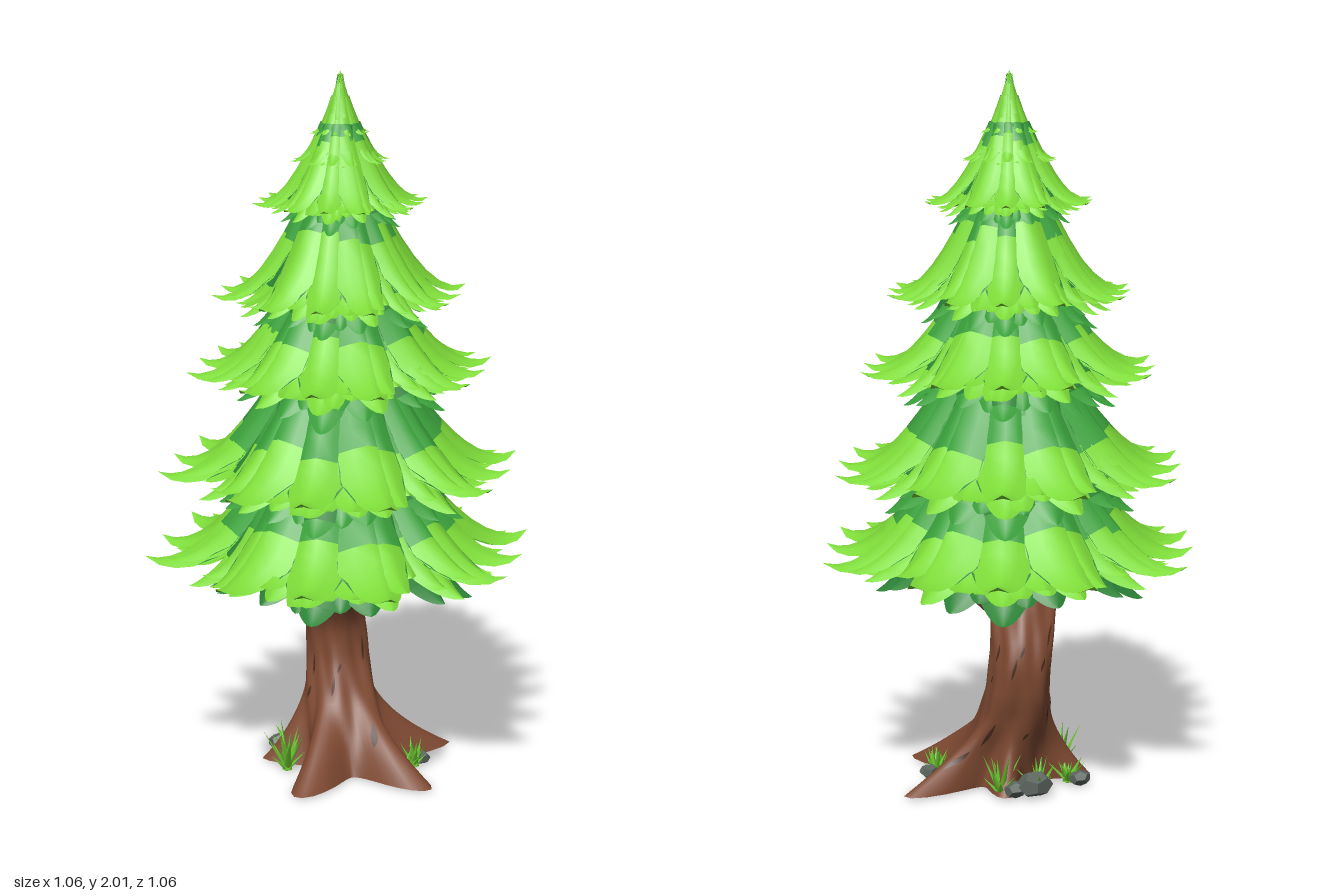
import * as THREE from 'three';
import { mergeGeometries } from 'three/addons/utils/BufferGeometryUtils.js';

const mat = (name, color) => {
  const m = new THREE.MeshStandardMaterial({ color });
  m.name = name;
  return m;
};
const V = (x, y, z) => new THREE.Vector3(x, y, z);
const rad = THREE.MathUtils.degToRad;

// Grid of points (rows of equal length) to a smooth surface
function grid(rows, wrap = false, flip = false) {
  const n = rows[0].length, pos = [], idx = [];
  rows.forEach(row => row.forEach(p => pos.push(p.x, p.y, p.z)));
  for (let i = 0; i < rows.length - 1; i++) {
    for (let j = 0; j < (wrap ? n : n - 1); j++) {
      const k = (j + 1) % n;
      const a = i * n + j, b = i * n + k, c = a + n, d = b + n;
      if (flip) idx.push(a, c, b, b, c, d);
      else idx.push(a, b, c, b, d, c);
    }
  }
  const g = new THREE.BufferGeometry();
  g.setAttribute('position', new THREE.Float32BufferAttribute(pos, 3));
  g.setIndex(idx);
  g.computeVertexNormals();
  return g;
}

// Ridged leaf swept along a path in the (radius, height) plane.
// Adds its root, blade and underside to the buckets.
function leaf(out, angle, path, width, split, rootKey, tipKey) {
  const curve = new THREE.CubicBezierCurve(...path.map(p => new THREE.Vector2(...p)));
  const ca = Math.cos(angle), sa = Math.sin(angle);
  const ring = (t, cols, droop) => {
    const p = curve.getPoint(t), d = curve.getTangent(t);
    const w = width * (t < 0.5 ? 0.6 + 0.8 * t : Math.pow(Math.max(0, 2 - 2 * t), 0.75));
    return cols.map(u => {
      const h = -w * droop(Math.abs(u));
      const r = p.x - d.y * h, y = p.y + d.x * h, s = u * w;
      return V(ca * r - sa * s, y, sa * r + ca * s);
    });
  };
  const sweep = (t0, t1, n, cols, droop, flip) => grid(
    Array.from({ length: n + 1 }, (_, i) => ring(t0 + (t1 - t0) * i / n, cols, droop)), false, flip);
  const top = [-1, -0.5, 0, 0.5, 1], low = [-1, 0, 1];
  const over = u => 0.5 * Math.pow(u, 1.3), under = u => 0.3 + 0.2 * u;
  out[rootKey].push(sweep(0, split, 3, top, over, false));
  out[tipKey].push(sweep(split, 1, 6, top, over, false));
  out.dark.push(sweep(0, 0.7, 4, low, under, true));
  out[tipKey].push(sweep(0.7, 1, 3, low, under, true));
}

// Leaf patterns over one quadrant: [degrees, reach, width, drop]
const MAIN = [[19.5, 1, 1.1, 0], [45, 0.93, 1.1, 0], [70.5, 1, 1.1, 0]];
const SIDE = [[13, 0.93, 0.75, 0.005], [9, 0.76, 0.7, 0.03], [30, 0.83, 0.85, 0.02], [38, 0.8, 0.7, 0.045],
  [52, 0.8, 0.7, 0.045], [60, 0.83, 0.85, 0.02], [77, 0.93, 0.75, 0.005], [81, 0.76, 0.7, 0.03]];
const MIDDLE = [[0, 0.64, 1.2, 0.02], [15, 0.8, 0.9, 0.07], [27, 0.74, 0.9, 0.05], [45, 0.78, 1, 0.07],
  [63, 0.74, 0.9, 0.05], [75, 0.8, 0.9, 0.07]];
const LOWER = [[0, 0.46, 1.3, 0.07], [20, 0.64, 1, 0.11], [34, 0.6, 0.9, 0.1], [45, 0.68, 1, 0.14],
  [56, 0.6, 0.9, 0.1], [70, 0.64, 1, 0.11]];

// Tiers: tip radius, tip height, root radius, root height, share of darker root
const TIERS = [
  [0.56, 0.665, 0.2, 0.92, 0.38], [0.52, 0.905, 0.18, 1.16, 0.38], [0.44, 1.185, 0.13, 1.43, 0.34],
  [0.365, 1.395, 0.09, 1.69, 0.24], [0.25, 1.645, 0.055, 1.86, 0.1]];
const CROWN = [[0.14, 1.755, 0.025, 1.93, 0.2], [0.085, 1.83, 0.004, 1.99, 0.2]];

function buildFoliage(mats) {
  const group = new THREE.Group();
  group.name = 'foliage';
  const out = { light: [], mid: [], dark: [] };
  // curl bends the tip: negative flicks it up, positive lets it hang
  const row = (pattern, [R, Y, r0, y0], split, curl, rootKey, tipKey) => {
    const size = Math.min(1, R / 0.5);
    for (let q = 0; q < 4; q++) pattern.forEach(([deg, reach, wide, drop], i) => {
      const wave = Math.sin(i * 2.7 + q * 1.9 + R * 31);
      const r = R * reach, y = Y - (drop - (drop ? 0.012 * wave : 0)) * size;
      const dr = r - r0, top = y0 - drop * 0.5 * size, dy = top - y;
      const path = [[r0, top], [r0 + dr * 0.3, top - dy * 0.55], [r0 + dr * 0.65, y + curl * size], [r, y]];
      leaf(out, rad(deg + q * 90 + wave), path, R * 0.155 * wide, split + 0.05 * wave, rootKey, tipKey);
    });
  };
  TIERS.forEach((tier, i) => {
    row(MAIN, tier, tier[4], -0.045, 'mid', 'light');
    row(SIDE, tier, tier[4] + 0.04, -0.01, 'mid', 'light');
    row(MIDDLE, tier, 0.62, 0.03, 'dark', 'light');
    row(LOWER, tier, 0.7, 0.04, 'dark', i ? 'mid' : 'dark');
  });
  CROWN.forEach(tier => {
    row(MAIN, tier, tier[4], 0, 'light', 'light');
    row(SIDE, tier, tier[4], 0.02, 'light', 'light');
    row(MIDDLE, tier, 0.4, 0.03, 'light', 'light');
  });
  for (const key of Object.keys(out)) {
    const mesh = new THREE.Mesh(mergeGeometries(out[key]), mats[key]);
    mesh.name = key + 'Leaves';
    group.add(mesh);
  }
  // Inner body that closes the gaps between leaves
  const profile = [[0, 0.72]];
  TIERS.forEach(([R, Y, r0, y0]) => profile.push([R * 0.48, Y + 0.01], [r0, y0 - 0.06]));
  profile.push([0, 1.9]);
  const core = new THREE.Mesh(
    new THREE.LatheGeometry(profile.map(p => new THREE.Vector2(...p)), 24), mats.dark);
  core.name = 'innerFoliage';
  const tip = new THREE.Mesh(new THREE.ConeGeometry(0.045, 0.14, 10), mats.light);
  tip.name = 'treeTop';
  tip.position.y = 1.93;
  group.add(core, tip);
  return group;
}

// Trunk centre line and radii at even height steps; roots as [degrees, reach, half spread]
const SPINE = new THREE.CatmullRomCurve3([V(0.03, 0, 0), V(0.035, 0.1, -0.03), V(0.055, 0.2, -0.08),
  V(0.068, 0.3, -0.115), V(0.06, 0.4, -0.12), V(0.02, 0.5, -0.08), V(-0.03, 0.6, -0.03), V(-0.01, 0.7, 0),
  V(0, 0.8, 0)]);
const RADII = [0.125, 0.115, 0.1, 0.088, 0.085, 0.092, 0.1, 0.085, 0.07];
const ROOTS = [[2, 0.22, 0.26], [78, 0.19, 0.3], [151, 0.19, 0.3], [222, 0.13, 0.25], [310, 0.1, 0.25]];

// Point on the trunk skin: angle, height share, offset outward
function skin(a, t, lift = 0) {
  const c = SPINE.getPoint(t), f = t * 8, k = Math.min(Math.floor(f), 7);
  let r = THREE.MathUtils.lerp(RADII[k], RADII[k + 1], f - k);
  r *= 1 + 0.045 * Math.sin(a * 5 + t * 9) + 0.02 * Math.sin(a * 11 - t * 14);
  const flare = Math.pow(Math.max(0, 1 - c.y / 0.22), 1.8);
  for (const [deg, reach, spread] of ROOTS) {
    const d = Math.atan2(Math.sin(a - rad(deg)), Math.cos(a - rad(deg)));
    r += reach * flare * Math.exp(-((d / spread) ** 2));
  }
  return V(c.x + Math.cos(a) * (r + lift), Math.max(0, c.y), c.z + Math.sin(a) * (r + lift));
}

// Round tapering branch
function branch(points) {
  const curve = new THREE.CatmullRomCurve3(points), steps = 12, sides = 10;
  const { normals, binormals } = curve.computeFrenetFrames(steps);
  return grid(Array.from({ length: steps + 1 }, (_, i) => Array.from({ length: sides }, (_, j) => {
    const a = j / sides * Math.PI * 2, r = 0.042 * (1 - i / steps) + 0.004;
    return curve.getPointAt(i / steps).addScaledVector(normals[i], r * Math.cos(a))
      .addScaledVector(binormals[i], r * Math.sin(a));
  })), true);
}

function buildTrunk(bark, barkDark) {
  const group = new THREE.Group();
  group.name = 'trunk';
  const add = (name, geo, m) => {
    const mesh = new THREE.Mesh(geo, m);
    mesh.name = name;
    group.add(mesh);
  };
  const sides = 80, ring = t => Array.from({ length: sides }, (_, j) => skin(j / sides * Math.PI * 2, t));
  const rows = Array.from({ length: 49 }, (_, i) => ring(Math.pow(i / 48, 1.4)));
  add('stemAndRoots', grid(rows, true, true), bark);
  add('sole', grid([rows[0].map(() => V(0.03, 0.015, 0)), rows[0]], true, true), barkDark);
  // Thin dark grooves in the bark
  const grooves = [];
  for (let i = 0; i < 22; i++) {
    const a0 = i * 2.4, t0 = 0.08 + ((i * 7) % 22) / 22 * 0.56, len = 0.06 + 0.03 * Math.sin(i * 3);
    grooves.push(grid(Array.from({ length: 7 }, (_, k) => {
      const s = k / 6, half = 0.045 * Math.sin(Math.PI * s);
      return [-half, 0, half].map(w => skin(a0 - s * 0.12 + w, t0 + s * len, 0.003));
    }), false, true));
  }
  add('barkGrooves', mergeGeometries(grooves), barkDark);
  // Short bare branches under the foliage
  add('branch', branch([V(0.03, 0.47, -0.07), V(0.07, 0.52, 0.03), V(0.085, 0.56, 0.1), V(0.08, 0.64, 0.14)]), bark);
  add('branch', branch([V(0, 0.5, -0.08), V(-0.07, 0.535, -0.11), V(-0.12, 0.58, -0.135), V(-0.135, 0.66, -0.14)]), bark);
  return group;
}

function buildGround(grass, rock) {
  const group = new THREE.Group();
  group.name = 'groundDetails';
  // Grass tufts: x, z, height
  for (const [x, z, h] of [[0.17, 0.13, 0.08], [0.11, 0.16, 0.07], [0.16, -0.14, 0.12], [0.06, -0.19, 0.1],
    [-0.15, -0.05, 0.13], [-0.06, -0.18, 0.08]]) {
    const blades = [];
    for (let i = 0; i < 13; i++) {
      const len = h * (0.85 + 0.25 * Math.sin(i * 2.3 + x * 40));
      blades.push(new THREE.ConeGeometry(0.014, len, 4).scale(1, 1, 0.45).translate(0, len / 2, 0)
        .rotateX(0.15 + 0.8 * ((i * 5) % 13) / 13).rotateY(i * Math.PI * 2 / 13));
    }
    const mesh = new THREE.Mesh(mergeGeometries(blades), grass);
    mesh.name = 'grassTuft';
    mesh.position.set(x, 0, z);
    group.add(mesh);
  }
  // Rocks: x, z, size
  for (const [x, z, s] of [[0.09, -0.205, 0.05], [0.14, -0.18, 0.032], [-0.07, -0.22, 0.03], [0.2, 0.12, 0.027]]) {
    const mesh = new THREE.Mesh(new THREE.DodecahedronGeometry(s).rotateY(x * 30).scale(1.15, 0.75, 0.9), rock);
    mesh.name = 'rock';
    mesh.position.set(x, s * 0.6, z);
    group.add(mesh);
  }
  return group;
}

export function createModel() {
  const model = new THREE.Group();
  model.name = 'pineTree';
  const leaves = {
    light: mat('lightGreen', 0x7ddb38), mid: mat('midGreen', 0x3ba23c), dark: mat('darkGreen', 0x2c8637) };
  for (const m of Object.values(leaves)) m.side = THREE.DoubleSide;
  model.add(buildFoliage(leaves),
    buildTrunk(mat('bark', 0x7f4a32), mat('darkBark', 0x4a2a1c)),
    buildGround(mat('grassGreen', 0x74d034), mat('stone', 0x5c655f)));
  return model;
}
